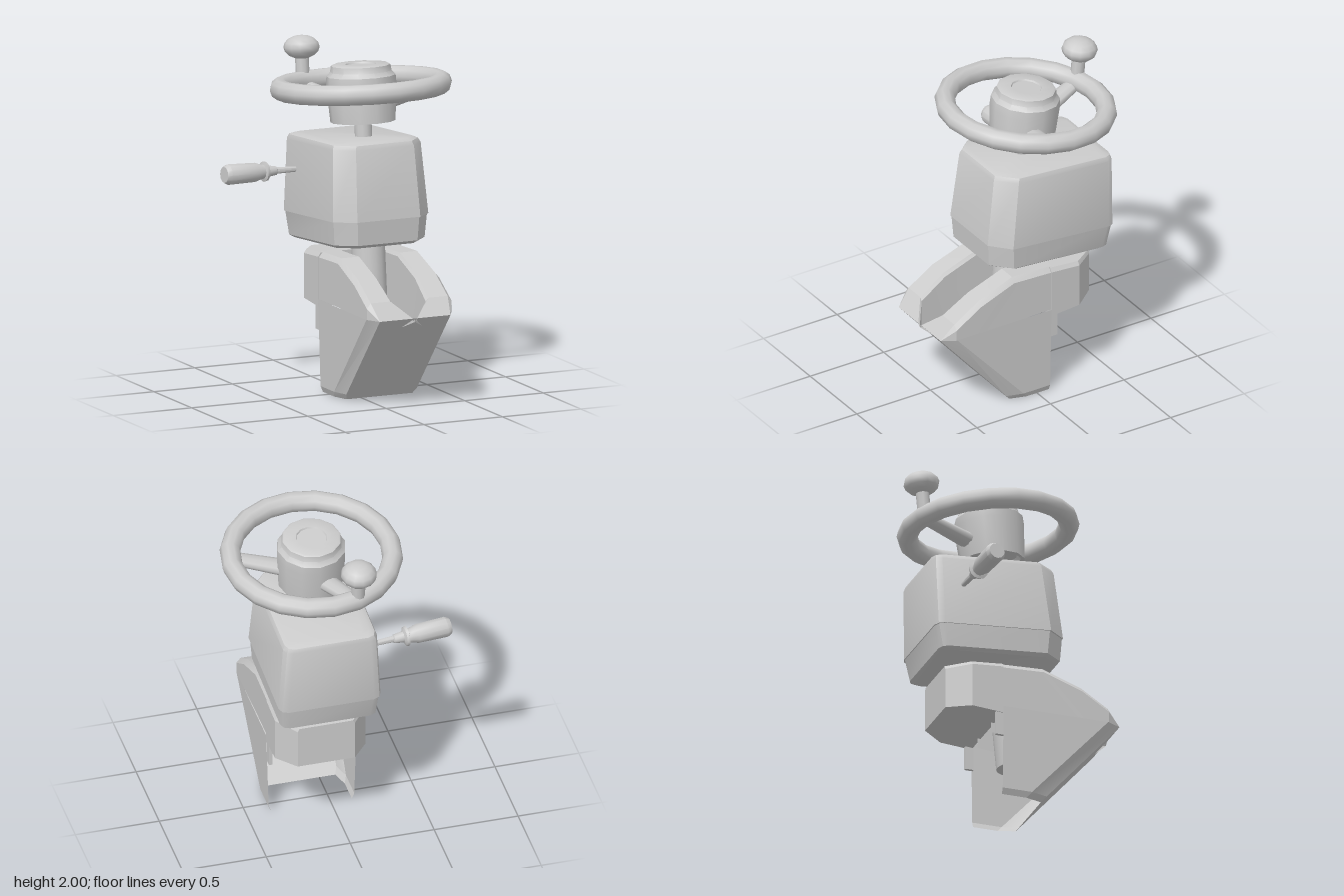
import * as THREE from 'three';
import { toCreasedNormals } from 'three/addons/utils/BufferGeometryUtils.js';

const material = new THREE.MeshStandardMaterial({ color: 0xcccccc, side: THREE.DoubleSide });
const CX = 0.115; // centre line of the column

function add(parent, name, geometry, x = 0, y = 0, z = 0) {
  const mesh = new THREE.Mesh(geometry, material);
  mesh.name = name;
  mesh.position.set(x, y, z);
  parent.add(mesh);
  return mesh;
}

// Skin through rings of [x, y, z] points
function loft(rings, { closed = true, caps = true, crease = 0.6 } = {}) {
  const n = rings[0].length;
  const index = [];
  for (let r = 0; r < rings.length - 1; r++) {
    for (let i = 0; i < (closed ? n : n - 1); i++) {
      const a = r * n + i, b = r * n + (i + 1) % n;
      index.push(a, b, b + n, a, b + n, a + n);
    }
  }
  const top = (rings.length - 1) * n;
  if (caps) {
    for (let i = 1; i < n - 1; i++) index.push(0, i + 1, i, top, top + i, top + i + 1);
  }
  const geometry = new THREE.BufferGeometry();
  geometry.setAttribute('position', new THREE.Float32BufferAttribute(rings.flat(2), 3));
  geometry.setIndex(index);
  return toCreasedNormals(geometry, crease);
}

function lathe(points, segments, crease = 0.6) {
  const geometry = new THREE.LatheGeometry(points.map(([r, y]) => new THREE.Vector2(r, y)), segments);
  return toCreasedNormals(geometry, crease);
}

// Housing outline: broad chamfers at the front, small rounded corners at the back
function housingRing([hw, zf, zb, yf, yb]) {
  const half = [[hw * 0.66, zf], [hw, zf - 0.11], [hw, zb + 0.05], [hw - 0.015, zb + 0.015], [hw - 0.05, zb]];
  const left = half.map(([x, z]) => [-x, z]).reverse();
  return [...left, ...half].map(([x, z]) => [x, yb + (yf - yb) * (z - zb) / (zf - zb), z]);
}

function buildBase() {
  const base = new THREE.Group();
  base.name = 'base';
  base.position.x = CX;

  // Slanted front plate with side walls, open at the back
  const shellRing = (y, hw, front, zc, zf) => [
    [-hw, y, -0.08], [-hw, y, zc], [-front, y, zf], [front, y, zf], [hw, y, zc], [hw, y, -0.08],
  ];
  add(base, 'lowerShell', loft([
    shellRing(0.005, 0.24, 0.21, 0.07, 0.17),
    shellRing(0.04, 0.255, 0.225, 0.1, 0.2),
    shellRing(0.55, 0.27, 0.225, 0.56, 0.645),
  ], { closed: false, caps: false, crease: 0.3 }));

  // Cheeks either side of the slot: z, top, inner edge, outer edge, inner foot
  const stations = [
    [-0.1, 0.825, 0.115, 0.265, 0.45],
    [0.17, 0.835, 0.115, 0.265, 0.42],
    [0.4, 0.75, 0.115, 0.27, 0.4],
    [0.565, 0.645, 0.105, 0.27, 0.47],
    [0.645, 0.55, 0, 0.225, 0.545],
  ];
  const cheek = loft(stations.map(([z, y, inner, outer, foot]) => [
    [inner, foot, z], [inner, y - 0.02, z], [inner + 0.015, y, z],
    [outer - 0.025, y, z], [outer, Math.max(y - 0.03, 0.55), z], [outer, 0.55, z],
  ]), { closed: false, caps: false, crease: 0.3 });
  for (const side of [1, -1]) {
    add(base, 'cheek', cheek).scale.x = side;
    add(base, 'rearTab', new THREE.BoxGeometry(0.02, 0.16, 0.05), side * 0.255, 0.45, -0.1);
  }

  // Rear overhang with chamfered back corners
  const plan = [[-0.17, -0.4], [-0.27, -0.27], [-0.27, -0.08], [0.27, -0.08], [0.27, -0.27], [0.17, -0.4]];
  const ring = (s, y, slope) => plan.map(([x, z]) => [x * s, y + slope * z, z]);
  add(base, 'rearOverhang', loft([
    ring(1, 0.502, -0.08), ring(1, 0.805, 0.07), ring(0.94, 0.83, 0.08),
  ], { crease: 0.3 }));
  return base;
}

function buildColumn() {
  const column = new THREE.Group();
  column.name = 'column';
  column.position.set(CX, 0, 0.105);
  column.rotation.x = -0.097;

  add(column, 'columnTube', new THREE.CylinderGeometry(0.097, 0.097, 0.65, 16), 0, 0.62);
  add(column, 'shaft', new THREE.CylinderGeometry(0.05, 0.05, 0.25, 12), 0, 1.55);

  // Wheel hub, with a recessed underside and a shallow dish on top
  add(column, 'hub', lathe([
    [0, 1.63], [0.15, 1.63], [0.165, 1.59], [0.188, 1.585], [0.203, 1.8], [0.2, 1.85],
    [0.178, 1.875], [0.172, 1.91], [0.16, 1.917], [0.09, 1.917], [0.085, 1.908], [0, 1.908],
  ], 12));

  add(column, 'wheelRim', new THREE.TorusGeometry(0.468, 0.06, 10, 20).rotateX(Math.PI / 2), 0, 1.79, -0.008);

  // Flattened spokes rising from hub to rim
  const rise = 0.25;
  for (const angle of [-0.21, 1.906]) {
    const spoke = new THREE.CylinderGeometry(0.048, 0.062, 0.32, 10);
    spoke.scale(0.65, 1, 1).rotateZ(rise - Math.PI / 2).translate(0.3, 1.725, 0).rotateY(angle);
    add(column, 'spoke', spoke);
  }

  // Spinner knob on the rim
  add(column, 'knobStem', new THREE.CylinderGeometry(0.04, 0.04, 0.17, 10), -0.155, 1.87, -0.455);
  add(column, 'knob', new THREE.SphereGeometry(0.105, 12, 8).scale(1, 0.66, 1), -0.155, 1.988, -0.455);
  return column;
}

export function createModel() {
  const model = new THREE.Group();
  model.name = 'steeringColumn';
  model.add(buildBase(), buildColumn());

  // Housing in two parts, split by a seam
  add(model, 'housingSkirt', loft([
    [0.265, 0.265, -0.445, 0.905, 0.852],
    [0.287, 0.292, -0.468, 0.925, 0.865],
    [0.298, 0.302, -0.495, 1.07, 1.0],
  ].map(housingRing)), 0.11);
  add(model, 'housing', loft([
    [0.304, 0.307, -0.5, 1.065, 1.0],
    [0.28, 0.255, -0.51, 1.475, 1.42],
    [0.268, 0.243, -0.503, 1.5, 1.445],
    [0.24, 0.215, -0.475, 1.512, 1.458],
  ].map(housingRing)), 0.11);

  // Side lever, lathed from tip to root
  const lever = add(model, 'lever', lathe([
    [0, 0], [0.047, 0], [0.06, 0.025], [0.056, 0.2], [0.045, 0.235], [0.042, 0.255], [0.06, 0.26],
    [0.056, 0.275], [0.034, 0.285], [0.026, 0.34], [0.019, 0.345], [0.015, 0.5], [0, 0.5],
  ], 12), -0.648, 1.283, -0.3);
  lever.quaternion.setFromUnitVectors(
    new THREE.Vector3(0, 1, 0), new THREE.Vector3(1, -0.03, -0.07).normalize());
  return model;
}
